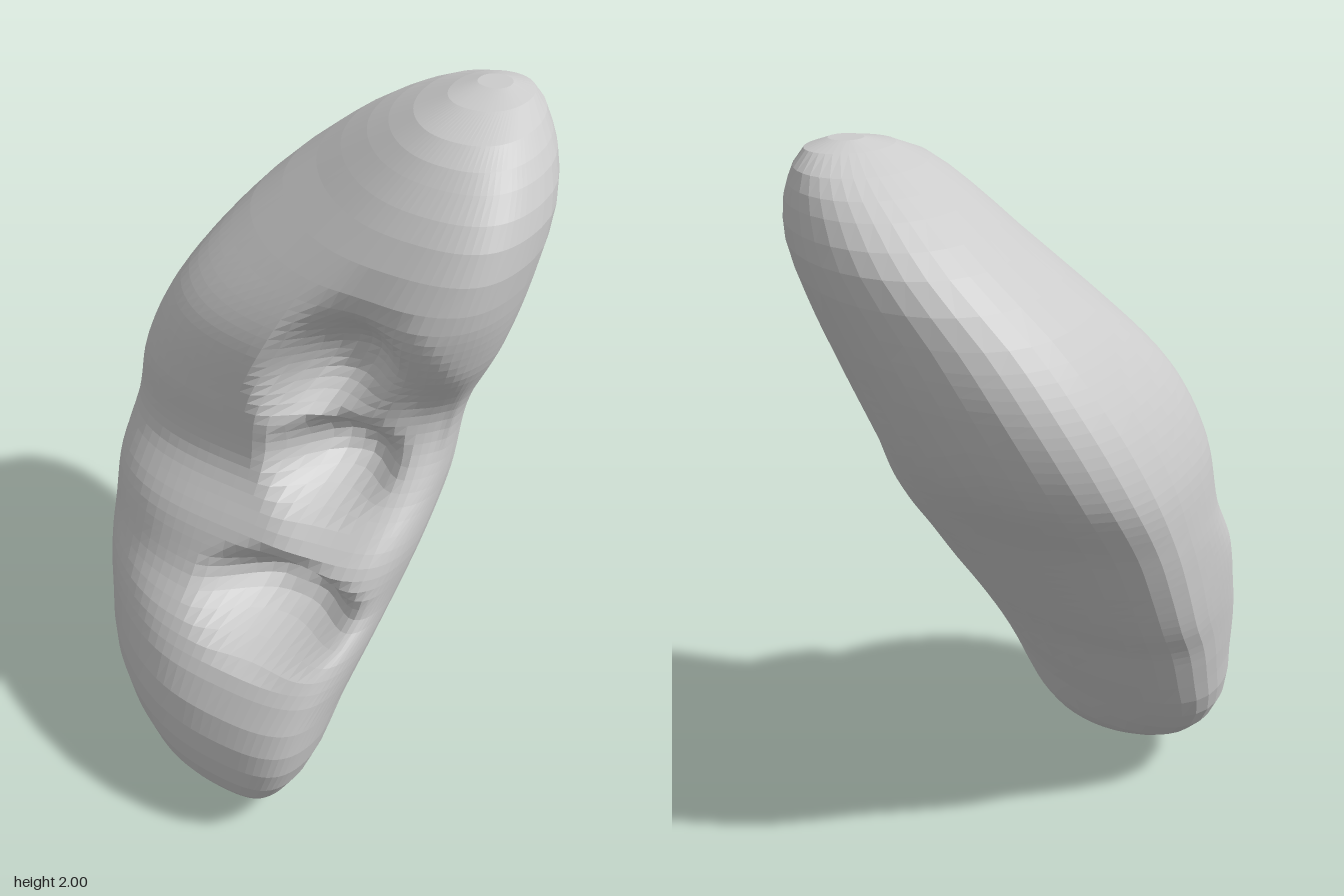
import * as THREE from 'three';

// Horizontal sections: y, min x, max x, min z, max z, back skew, front skew, front squareness
const SECTIONS = [
  [0, -0.13, 0.0, 0.33, 0.46, 0.2, 0.2, 2.2],
  [0.02, -0.2, 0.07, 0.29, 0.51, 0.3, 0.3, 2.2],
  [0.07, -0.31, 0.18, 0.22, 0.58, 0.4, 0.45, 2.3],
  [0.15, -0.43, 0.25, 0.13, 0.64, 0.45, 0.5, 2.3],
  [0.3, -0.53, 0.32, 0.02, 0.675, 0.48, 0.48, 2.3],
  [0.45, -0.555, 0.35, -0.08, 0.65, 0.45, 0.42, 2.4],
  [0.6, -0.57, 0.38, -0.17, 0.55, 0.42, 0.3, 2.8],
  [0.7, -0.578, 0.395, -0.24, 0.45, 0.42, 0.2, 3.1],
  [0.85, -0.58, 0.42, -0.335, 0.365, 0.38, 0.12, 3.4],
  [1.0, -0.575, 0.43, -0.43, 0.265, 0.32, 0.06, 3.0],
  [1.2, -0.55, 0.44, -0.57, 0.25, 0.34, 0.0, 2.7],
  [1.4, -0.47, 0.52, -0.64, 0.235, 0.38, 0.08, 2.6],
  [1.6, -0.325, 0.565, -0.67, 0.165, 0.36, 0.28, 2.5],
  [1.75, -0.16, 0.575, -0.67, 0.085, 0.35, 0.35, 2.3],
  [1.86, -0.01, 0.54, -0.62, -0.01, 0.3, 0.3, 2.2],
  [1.94, 0.13, 0.48, -0.55, -0.11, 0.2, 0.2, 2.2],
  [1.98, 0.22, 0.43, -0.48, -0.22, 0, 0, 2.2],
  [2, 0.28, 0.37, -0.41, -0.32, 0, 0, 2.2],
];
const sections = new THREE.CubicInterpolant(
  SECTIONS.map((s) => s[0]), SECTIONS.flatMap((s) => s.slice(1)), 7, new Float32Array(7));

// Pockets of the inner hollow: x, y, radius x, radius y, depth, lean
const POCKETS = [
  [0.14, 0.71, 0.24, 0.13, 0.18, 0],
  [0.17, 1.07, 0.17, 0.14, 0.15, 0],
  [0.16, 1.36, 0.17, 0.19, 0.13, 0.35],
];
const { smoothstep, lerp } = THREE.MathUtils;

function hollowDepth(x, y) {
  let depth = 0;
  for (const [px, py, rx, ry, d, lean] of POCKETS) {
    const r = Math.hypot((x - px - lean * (y - py)) / rx, (y - py) / ry);
    depth = Math.max(depth, d * (1 - smoothstep(r, 0.2, 1.15)));
  }
  // Shallow saddle joining the upper pockets
  const r = Math.hypot((x - 0.24) / 0.26, (y - 1.23) / 0.38);
  return depth + 0.09 * (1 - smoothstep(r, 0.4, 1.1));
}

// Row heights and ring angles, finer around the hollow
function rowHeights() {
  const rows = [];
  SECTIONS.forEach(([y], i) => {
    if (y > 0.55 && y < 1.59) return;
    rows.push(y);
    const next = SECTIONS[i + 1]?.[0] ?? y;
    if (next - y > 0.06) rows.push((y + next) / 2);
  });
  for (let i = 0; i < 34; i++) rows.push(0.56 + i * 0.03);
  return rows.sort((a, b) => a - b);
}

function ringAngles() {
  const angles = [];
  for (let i = 0; i < 46; i++) angles.push((Math.PI * i) / 46);
  for (let i = 0; i < 18; i++) angles.push(Math.PI + (Math.PI * i) / 18);
  return angles;
}

// Radius of a rounded square of exponent n in direction a
const squircle = (a, n) =>
  (Math.abs(Math.cos(a)) ** n + Math.abs(Math.sin(a)) ** n) ** (-1 / n);

function buildBody() {
  const rows = rowHeights(), angles = ringAngles(), n = angles.length;
  const positions = [], index = [];
  for (const y of rows) {
    const [x0, x1, z0, z1, backSkew, frontSkew, square] = sections.evaluate(y);
    for (const t of angles) {
      const front = smoothstep(Math.sin(t), -0.4, 0.6);
      const power = lerp(2.05, square, front);
      const u = t + Math.asin(lerp(backSkew, frontSkew, front));
      const x = (x0 + x1) / 2 + ((x1 - x0) / 2) * Math.cos(t) * squircle(t, power);
      const z = (z0 + z1) / 2 + ((z1 - z0) / 2) * Math.sin(u) * squircle(u, power);
      // Press the hollow in, square to the sloping front
      const d = smoothstep(Math.sin(t), 0.1, 0.5) * hollowDepth(x, y);
      positions.push(x, y - d * 0.15, z - d);
    }
  }
  for (let i = 0; i < rows.length - 1; i++) {
    for (let j = 0; j < n; j++) {
      const a = i * n + j, b = i * n + ((j + 1) % n);
      index.push(a, a + n, b, b, a + n, b + n);
    }
  }
  // Close both ends with fans
  const last = (rows.length - 1) * n, bottom = rows.length * n, top = bottom + 1;
  positions.push(-0.065, 0, 0.395, 0.325, 2, -0.365);
  for (let j = 0; j < n; j++) {
    const k = (j + 1) % n;
    index.push(bottom, j, k, top, last + k, last + j);
  }
  const geometry = new THREE.BufferGeometry();
  geometry.setAttribute('position', new THREE.Float32BufferAttribute(positions, 3));
  geometry.setIndex(index);
  geometry.computeVertexNormals();
  return geometry;
}

export function createModel() {
  const group = new THREE.Group();
  group.name = 'kidney';
  const material = new THREE.MeshStandardMaterial({ color: 0xcccccc, flatShading: true });
  const body = new THREE.Mesh(buildBody(), material);
  body.name = 'kidneyBody';
  group.add(body);
  return group;
}
